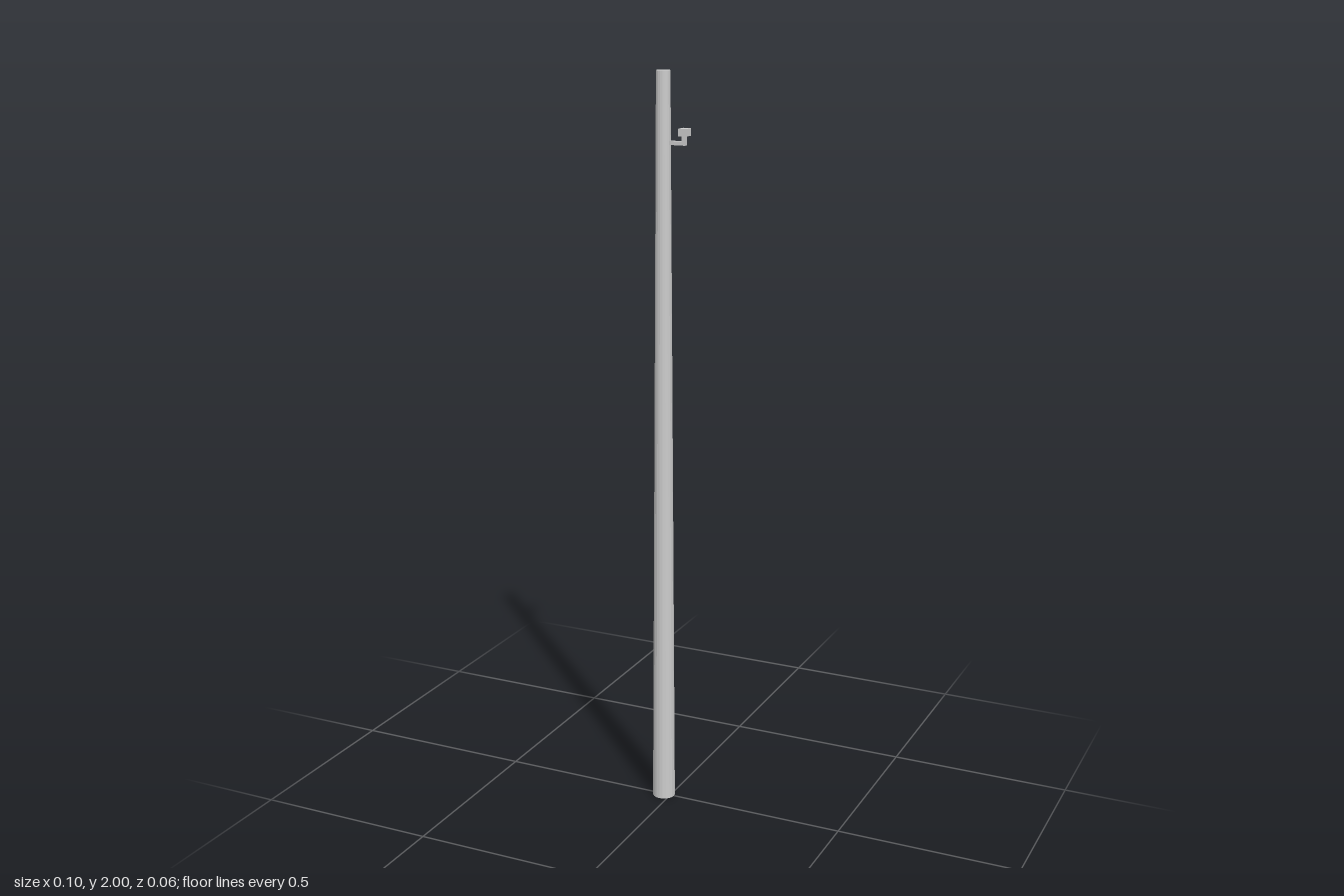
import * as THREE from 'three';

const POLE_X = -0.02;

export function createModel() {
  const group = new THREE.Group();
  const material = new THREE.MeshStandardMaterial({ color: 0xcccccc, flatShading: true });

  const add = (name, geometry, x, y, z = 0) => {
    const mesh = new THREE.Mesh(geometry, material);
    mesh.name = name;
    mesh.position.set(x, y, z);
    group.add(mesh);
    return mesh;
  };

  // Tall tapered pole
  add('pole', new THREE.CylinderGeometry(0.0185, 0.031, 2, 20), POLE_X, 1);

  // Side bracket: horizontal arm, then an upright post at its end
  add('bracketArm', new THREE.BoxGeometry(0.053, 0.01, 0.012), 0.0165, 1.82);
  add('bracketPost', new THREE.BoxGeometry(0.01, 0.03, 0.012), 0.038, 1.83);

  // Block carried on the post
  add('bracketHead', new THREE.BoxGeometry(0.022, 0.019, 0.03), 0.039, 1.848);

  return group;
}
